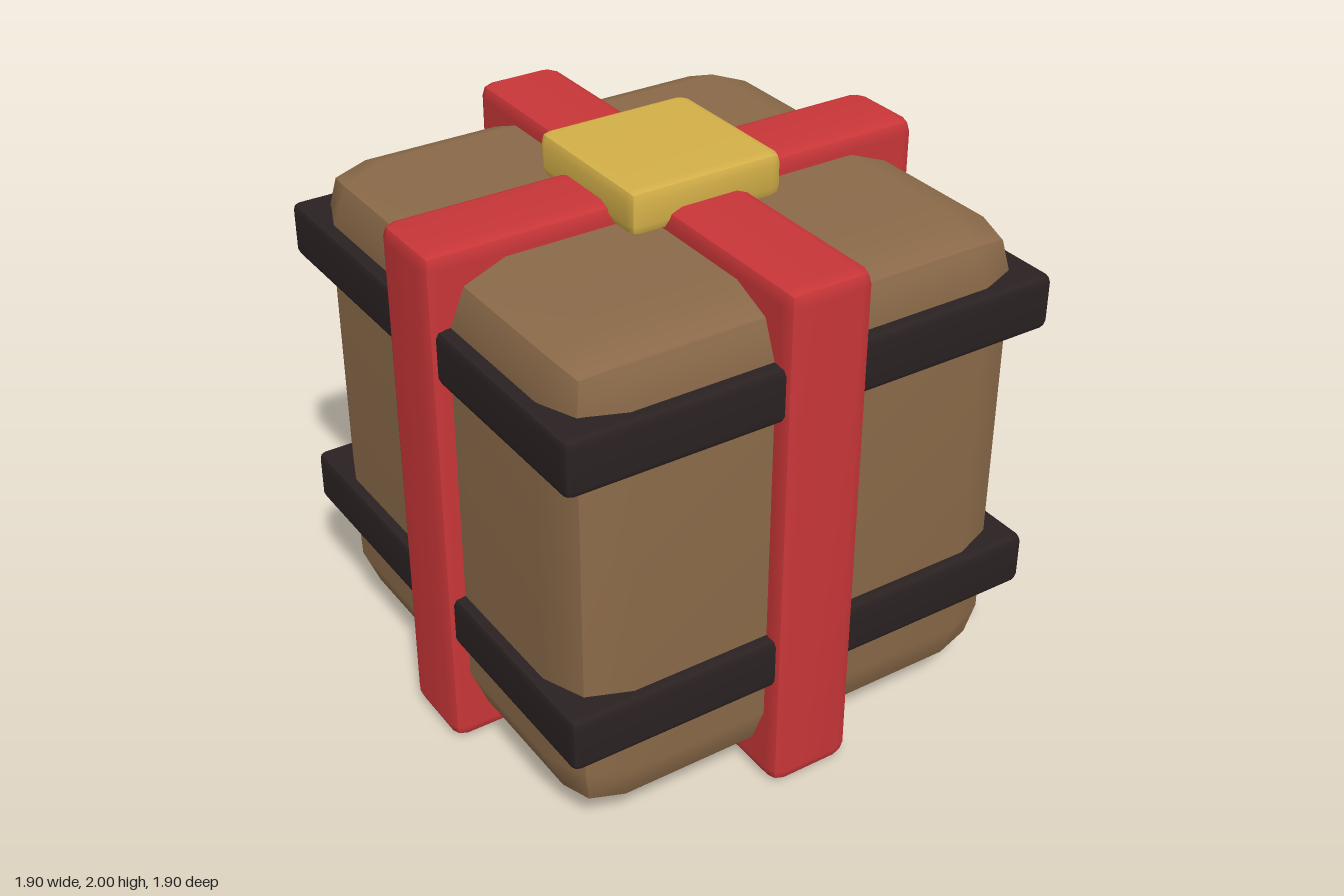
import * as THREE from 'three';

const brown = new THREE.MeshStandardMaterial({ name: 'brown board', color: 0x8b6a49 });
const red = new THREE.MeshStandardMaterial({ name: 'red ribbon', color: 0xc93638 });
const black = new THREE.MeshStandardMaterial({ name: 'dark band', color: 0x2b2222 });
const gold = new THREE.MeshStandardMaterial({ name: 'gold clasp', color: 0xd4b049 });

// Box whose faces slope inwards near their rims: smooth within a face, creased at the edges.
// rim = width of the sloping border, drop = how far the edges sink in.
function pillowBox(hx, hy, hz, rim, drop) {
  const half = [hx, hy, hz];
  const geometry = new THREE.BoxGeometry(2, 2, 2, 3, 3, 3);
  const position = geometry.attributes.position;
  for (let i = 0; i < position.count; i++) {
    const v = [position.getX(i), position.getY(i), position.getZ(i)];
    const extremes = v.filter((c) => Math.abs(c) > 0.9).length;
    const sink = [0, 0, drop, drop * 1.4][extremes];
    const p = v.map((c, k) => Math.sign(c) * (half[k] - (Math.abs(c) > 0.9 ? sink : rim)));
    position.setXYZ(i, ...p);
  }
  geometry.computeVertexNormals();
  return geometry;
}

export function createModel() {
  const model = new THREE.Group();
  model.name = 'giftCrate';

  function add(name, material, size, y, rim, drop) {
    const mesh = new THREE.Mesh(pillowBox(...size, rim, drop), material);
    mesh.name = name;
    mesh.position.y = y;
    model.add(mesh);
  }

  // Soft-cornered body
  add('body', brown, [0.88, 0.88, 0.88], 0.96, 0.21, 0.06);

  // Dark bands around the body
  add('lowerBand', black, [0.92, 0.1, 0.92], 0.52, 0.03, 0.009);
  add('upperBand', black, [0.92, 0.1, 0.92], 1.55, 0.03, 0.009);

  // Crossing ribbons
  add('frontBackRibbon', red, [0.16, 0.955, 0.95], 0.955, 0.055, 0.016);
  add('sideRibbon', red, [0.95, 0.955, 0.16], 0.955, 0.055, 0.016);

  // Square clasp over the crossing
  add('clasp', gold, [0.29, 0.08, 0.29], 1.92, 0.04, 0.011);

  return model;
}
